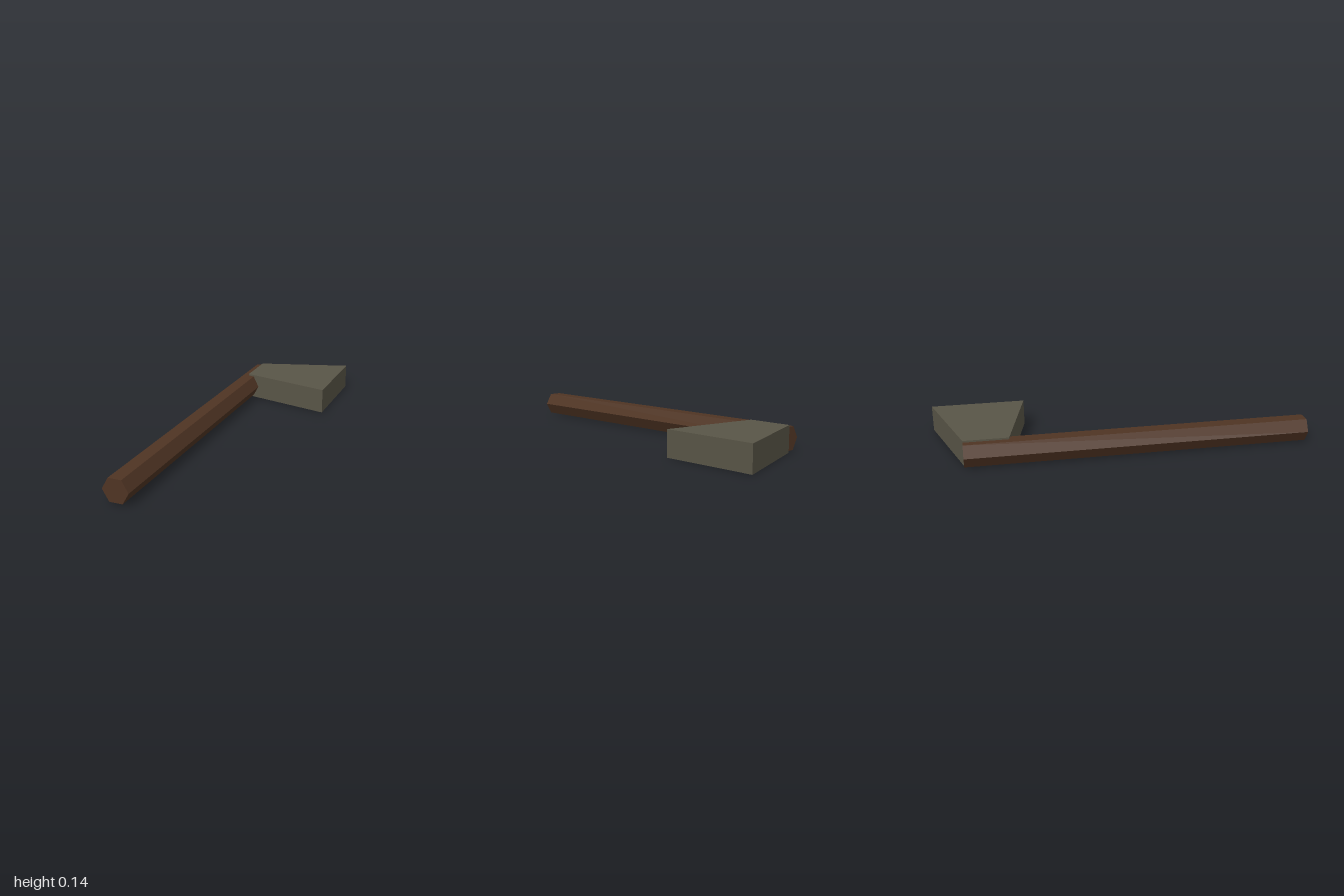
import * as THREE from 'three';

export function createModel() {
  const group = new THREE.Group();
  const wood = new THREE.MeshStandardMaterial({ color: 0x4f3423, flatShading: true });
  wood.name = 'dark wood';
  const stone = new THREE.MeshStandardMaterial({ color: 0x595547, flatShading: true });
  stone.name = 'grey stone';

  // Six-sided handle lying along z, with corners pointing sideways
  const shaft = new THREE.CylinderGeometry(0.0705, 0.0705, 1.838, 6);
  shaft.rotateY(Math.PI / 6).rotateX(Math.PI / 2);
  const handle = new THREE.Mesh(shaft, wood);
  handle.name = 'handle';
  handle.position.set(-0.224, 0.0705, 0.081);
  group.add(handle);

  // Flared axe head: outline in (x, -z), extruded upwards
  const outline = new THREE.Shape([
    [-0.224, 0.602], [0.293, 0.487], [0.293, 1], [-0.224, 0.838],
  ].map(([x, y]) => new THREE.Vector2(x, y)));
  const wedge = new THREE.ExtrudeGeometry(outline, { depth: 0.141, bevelEnabled: false });
  wedge.rotateX(-Math.PI / 2);
  const head = new THREE.Mesh(wedge, stone);
  head.name = 'axeHead';
  group.add(head);

  return group;
}
